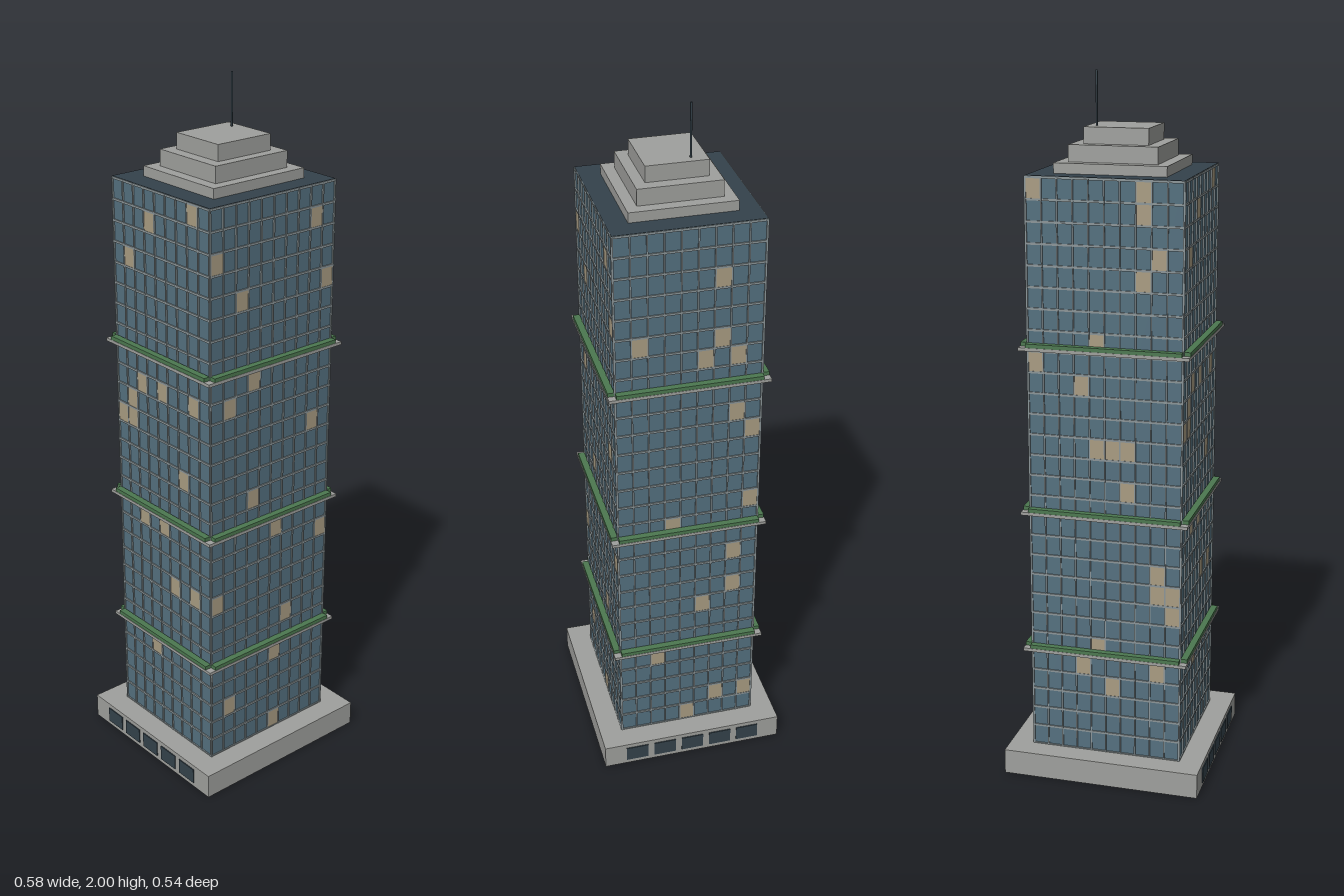
import * as THREE from 'three';

const mat = (name, color) => {
  const m = new THREE.MeshStandardMaterial({ color });
  m.name = name;
  return m;
};

export function createModel() {
  const concrete = mat('concrete', 0x9fa09d);
  const glass = mat('blueGlass', 0x54707f);
  const dark = mat('darkSlate', 0x34424b);
  const lit = mat('litWindow', 0xa99c82);
  const green = mat('planting', 0x4c7850);
  const frame = mat('frame', 0x8b9598);

  const model = new THREE.Group();
  model.name = 'skyscraper';

  // Box resting on height y
  const box = (parent, name, w, h, d, material, x, y, z) => {
    const mesh = new THREE.Mesh(new THREE.BoxGeometry(w, h, d), material);
    mesh.name = name;
    mesh.position.set(x, y + h / 2, z);
    parent.add(mesh);
    return mesh;
  };

  const HX = 0.217, HZ = 0.202;      // tower half sizes
  const BASE = 0.073, TOP = 1.73, FLOORS = 28;
  const pitch = (TOP - BASE) / FLOORS;

  // Podium with dark shop windows on both sides
  box(model, 'podium', 0.574, BASE, 0.542, concrete, 0, 0, 0);
  for (const s of [-1, 1]) {
    for (let i = -2; i <= 2; i++) {
      box(model, 'podiumWindow', 0.006, 0.046, 0.067, dark, s * 0.287, 0.014, i * 0.086);
    }
  }

  // Glass shaft and roof
  box(model, 'tower', HX * 2, TOP - BASE, HZ * 2, glass, 0, BASE, 0);
  box(model, 'roof', HX * 2 + 0.003, 0.004, HZ * 2 + 0.003, dark, 0, TOP, 0);

  // Lit windows as [column from the left, floor] seen from outside each face
  const litFront = [[5, 0], [1, 2], [5, 4], [6, 6], [0, 8], [9, 10], [5, 11], [3, 13],
    [8, 16], [1, 18], [3, 19], [2, 23], [9, 23], [0, 25], [8, 26]];
  const litPlusX = [[4, 0], [6, 1], [8, 1], [2, 4], [5, 7], [7, 8], [7, 10], [3, 12],
    [8, 13], [8, 17], [7, 18], [5, 21], [7, 21], [1, 22], [6, 22], [6, 25]];
  const litBack = [[0, 27], [7, 27], [7, 26], [8, 24], [7, 23], [4, 20], [0, 19], [3, 18],
    [4, 15], [5, 15], [6, 15], [6, 13], [8, 9], [8, 8], [9, 8], [9, 7], [4, 5], [3, 4], [5, 3], [8, 4]];
  const litMinusX = [[7, 27], [3, 26], [1, 24], [4, 18], [7, 18], [2, 18], [1, 17], [1, 16],
    [0, 16], [6, 14], [4, 11], [2, 11], [7, 8], [5, 8], [3, 4]];

  // One facade: vertical fins, floor lines and lit panes, then turned into place
  const facade = (name, columns, half, depth, turn, panes) => {
    const g = new THREE.Group();
    g.name = name;
    const step = half * 2 / columns;
    for (let i = 0; i <= columns; i++) {
      box(g, 'fin', 0.004, TOP - BASE, 0.006, frame, -half + i * step, BASE, depth + 0.001);
    }
    for (let f = 0; f <= FLOORS; f++) {
      box(g, 'floorLine', half * 2 + 0.004, 0.006, 0.005, frame, 0, BASE + f * pitch - 0.003, depth + 0.001);
    }
    for (const [c, f] of panes) {
      box(g, 'litWindow', step - 0.004, pitch - 0.006, 0.003, lit,
        -half + (c + 0.5) * step, BASE + f * pitch + 0.003, depth + 0.001);
    }
    g.rotation.y = turn;
    model.add(g);
  };
  facade('frontFacade', 10, HX, HZ, 0, litFront);
  facade('leftFacade', 9, HZ, HX, Math.PI / 2, litPlusX);
  facade('backFacade', 10, HX, HZ, Math.PI, litBack);
  facade('rightFacade', 9, HZ, HX, -Math.PI / 2, litMinusX);

  // Planted ledges around the tower
  for (const y of [0.372, 0.786, 1.26]) {
    box(model, 'ledge', 0.48, 0.009, 0.448, concrete, 0, y, 0);
    for (const s of [-1, 1]) {
      box(model, 'planter', 0.438, 0.011, 0.019, green, 0, y + 0.009, s * 0.2135);
      box(model, 'planter', 0.019, 0.011, 0.406, green, s * 0.2295, y + 0.009, 0);
    }
  }

  // Stepped crown and mast
  const tiers = [[0.313, 1.732, 1.762, 0.292], [0.248, 1.762, 1.808, 0.23], [0.181, 1.808, 1.853, 0.17]];
  for (const [w, y0, y1, d] of tiers) box(model, 'crownTier', w, y1 - y0, d, concrete, 0, y0, 0);
  const mast = new THREE.Mesh(new THREE.CylinderGeometry(0.003, 0.003, 0.147, 8), dark);
  mast.name = 'mast';
  mast.position.set(0.065, 1.9265, -0.042);
  model.add(mast);

  return model;
}
